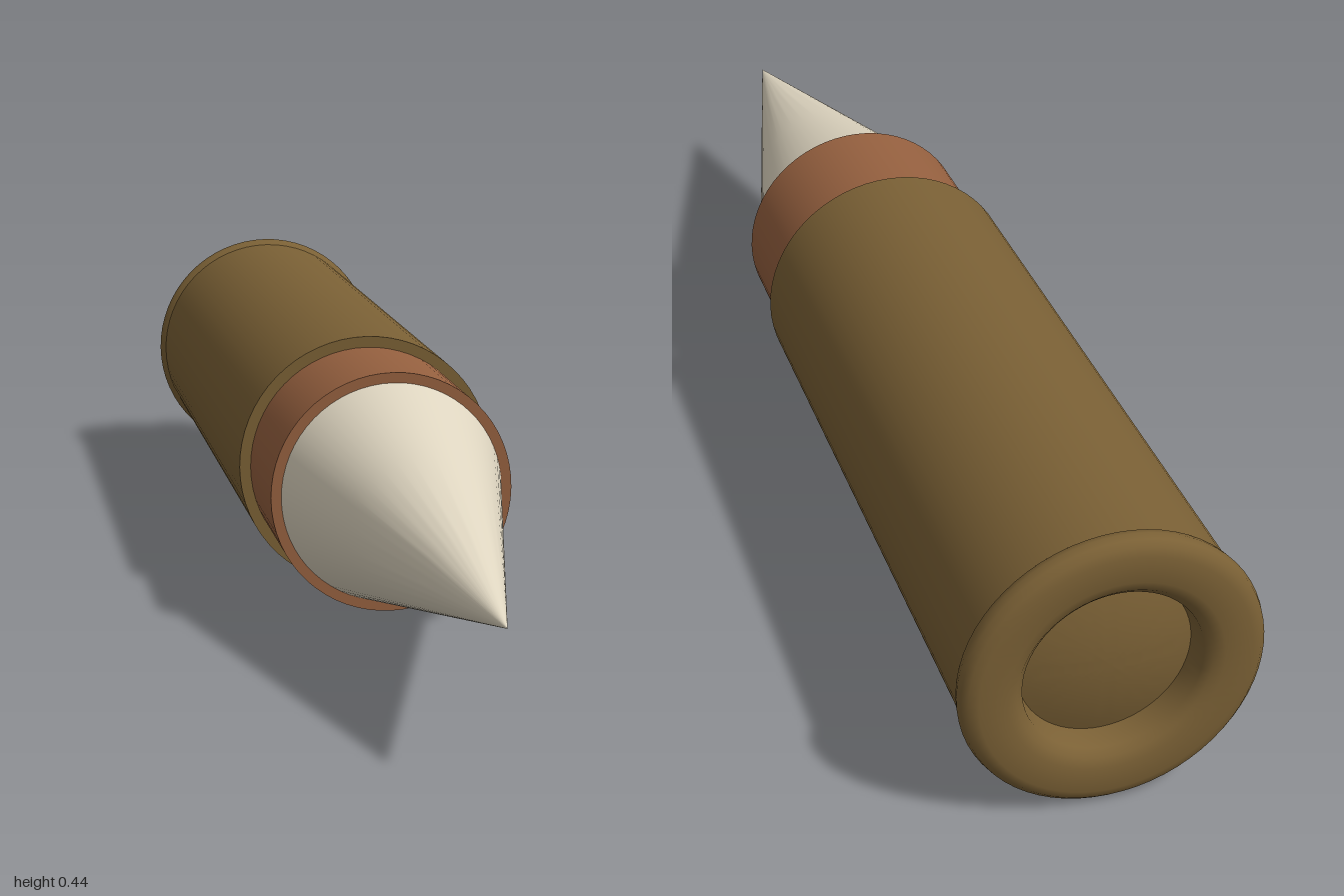
import * as THREE from 'three';
import { toCreasedNormals } from 'three/addons/utils/BufferGeometryUtils.js';

const SEGMENTS = 64;

// Turns a [radius, z] profile, listed from back to front, about the long axis.
function turned(name, profile, color) {
  const points = profile.map(([r, z]) => new THREE.Vector2(r, z));
  const lathe = new THREE.LatheGeometry(points, SEGMENTS);
  lathe.rotateX(Math.PI / 2);
  const mesh = new THREE.Mesh(
    toCreasedNormals(lathe, 0.65),
    new THREE.MeshStandardMaterial({ color, side: THREE.DoubleSide })
  );
  mesh.name = name;
  return mesh;
}

export function createModel() {
  const model = new THREE.Group();
  model.name = 'cartridge';
  const brass = 0x7a6035;

  // Straight case with a rounded bead round its base and a recessed middle
  model.add(turned('case', [
    [0.125, -0.95], [0.13, -0.985], [0.14, -0.995], [0.155, -1], [0.195, -1],
    [0.208, -0.996], [0.216, -0.988], [0.219, -0.978], [0.217, -0.968],
    [0.21, -0.96], [0.21, 0.08], [0.19, 0.08],
  ], brass));

  // Shallow dome filling the recess in the base
  const dome = [];
  for (let i = 0; i <= 8; i++) {
    const r = 0.125 * i / 8;
    dome.push([r, -0.97 + 0.02 * (i / 8) ** 2]);
  }
  // Listed from the centre outward so that it faces the back
  model.add(turned('baseDome', dome, brass));

  // Collar stepping in from the case mouth
  model.add(turned('collar', [
    [0.192, 0.06], [0.192, 0.29], [0.17, 0.29],
  ], 0x95603f));

  // Long pointed tip
  model.add(turned('tip', [
    [0.177, 0.285], [0.118, 0.523], [0.059, 0.762], [0, 1],
  ], 0xded5c0));

  model.position.y = 0.22;
  const root = new THREE.Group();
  root.add(model);
  return root;
}
